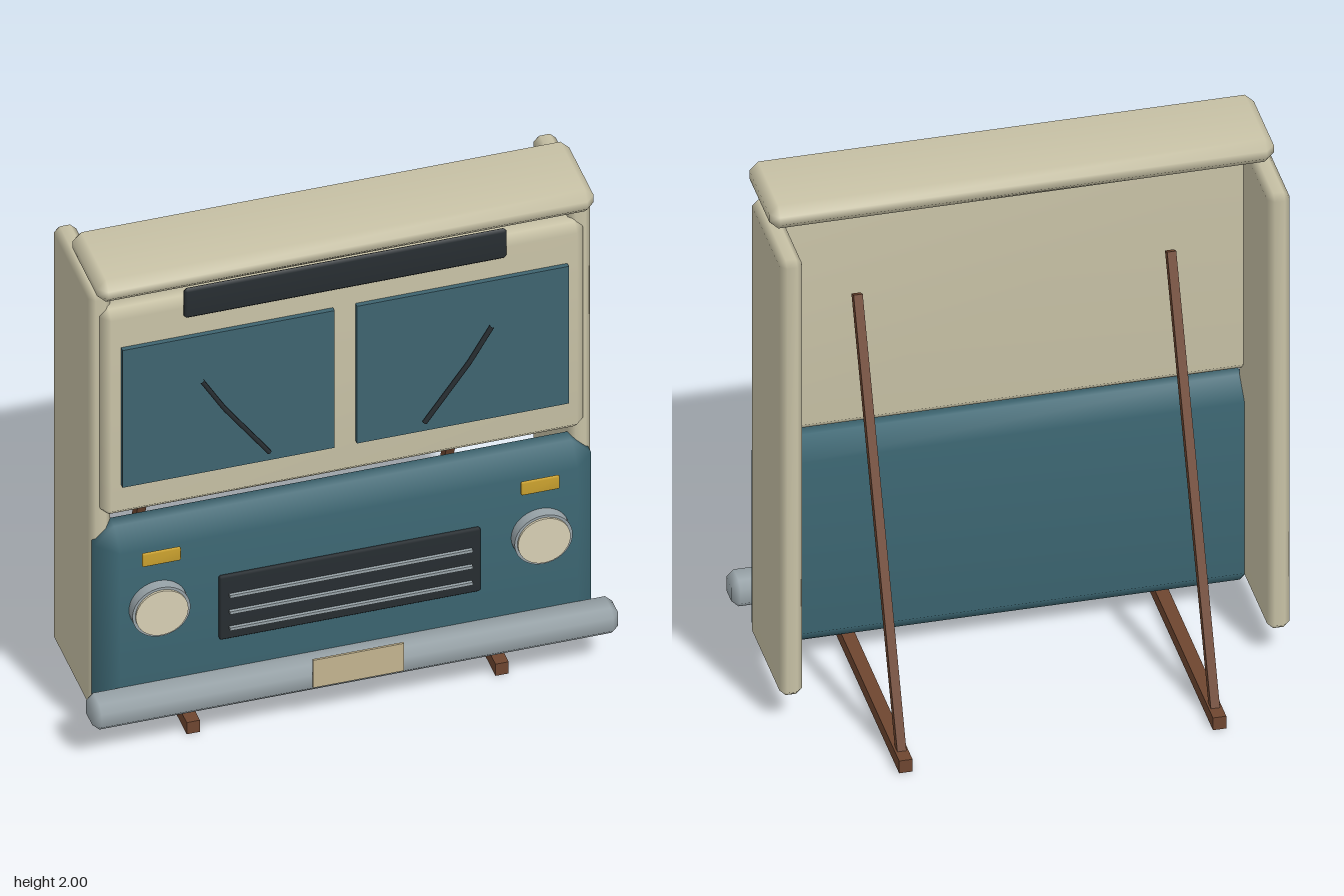
import * as THREE from 'three';
import { mergeVertices } from 'three/addons/utils/BufferGeometryUtils.js';
import { ConvexGeometry } from 'three/addons/geometries/ConvexGeometry.js';

const mat = (color) => new THREE.MeshStandardMaterial({ color });
const CREAM = mat(0xc8c2a6), TEAL = mat(0x3c6672), GLASS = mat(0x3e6470), WOOD = mat(0x6e4630);
const DARK = mat(0x272d31), METAL = mat(0x98a3a8), AMBER = mat(0xc9a02e), LENS = mat(0xd8d0b4), PLATE = mat(0xc4b590);

// Box with a single chamfer on every edge and softened normals
function chamferBox(w, h, d, c) {
  const pts = [];
  for (const sx of [-1, 1]) for (const sy of [-1, 1]) for (const sz of [-1, 1]) {
    const x = w / 2, y = h / 2, z = d / 2;
    pts.push(new THREE.Vector3(sx * x, sy * (y - c), sz * (z - c)));
    pts.push(new THREE.Vector3(sx * (x - c), sy * y, sz * (z - c)));
    pts.push(new THREE.Vector3(sx * (x - c), sy * (y - c), sz * z));
  }
  let geo = new ConvexGeometry(pts);
  geo.deleteAttribute('normal');
  geo = mergeVertices(geo, 1e-5);
  geo.computeVertexNormals();
  return geo;
}

export function createModel() {
  const model = new THREE.Group();
  model.name = 'busFrontBackdrop';

  const add = (name, geo, material, x = 0, y = 0, z = 0) => {
    const mesh = new THREE.Mesh(geo, material);
    mesh.name = name;
    mesh.position.set(x, y, z);
    model.add(mesh);
    return mesh;
  };
  // Block given by its limits on each axis, chamfered when c > 0
  const block = (name, material, [x0, x1], [y0, y1], [z0, z1], c = 0) => {
    const w = x1 - x0, h = y1 - y0, d = z1 - z0;
    const geo = c ? chamferBox(w, h, d, c) : new THREE.BoxGeometry(w, h, d);
    return add(name, geo, material, (x0 + x1) / 2, (y0 + y1) / 2, (z0 + z1) / 2);
  };

  // Body panels and roof
  block('lowerPanel', TEAL, [-0.89, 0.89], [0.07, 0.91], [0.205, 0.395], 0.07);
  block('upperPanel', CREAM, [-0.865, 0.865], [0.955, 1.835], [0.22, 0.34], 0.03);
  block('roof', CREAM, [-0.89, 0.89], [1.905, 2], [0.04, 0.385], 0.032);

  // Destination board
  block('destinationBoard', DARK, [-0.578, 0.578], [1.77, 1.895], [0.338, 0.362], 0.01);

  // Grille with slats
  block('grille', DARK, [-0.468, 0.468], [0.4, 0.67], [0.39, 0.412], 0.006);
  for (const y of [0.45, 0.52, 0.59]) {
    block('grilleSlat', METAL, [-0.435, 0.435], [y - 0.006, y + 0.006], [0.408, 0.424]);
  }

  // Bumper and blank number plate
  block('bumper', METAL, [-0.943, 0.943], [0.16, 0.267], [0.37, 0.492], 0.026);
  block('numberPlate', PLATE, [-0.163, 0.163], [0.197, 0.315], [0.498, 0.506]);

  for (const s of [-1, 1]) {
    const span = (a, b) => (s > 0 ? [a, b] : [-b, -a]);

    block('sidePanel', CREAM, span(0.82, 0.9), [0.115, 1.895], [-0.135, 0.3], 0.022);
    block('window', GLASS, span(0.04, 0.8), [1.095, 1.685], [0.338, 0.358]);
    block('indicator', AMBER, span(0.61, 0.748), [0.785, 0.84], [0.408, 0.422], 0.004);

    // Wiper bent once along its length
    const path = new THREE.CurvePath();
    const p = [[0.52, 1.5], [0.44, 1.365], [0.278, 1.14]].map(([x, y]) => new THREE.Vector3(s * x, y, 0.371));
    path.add(new THREE.LineCurve3(p[0], p[1]));
    path.add(new THREE.LineCurve3(p[1], p[2]));
    add('wiper', new THREE.TubeGeometry(path, 16, 0.009, 6), DARK);

    // Headlight: metal rim, step and pale lens
    const disc = (name, material, r, z0, z1) => {
      const geo = new THREE.CylinderGeometry(r, r, z1 - z0, 40).rotateX(Math.PI / 2);
      add(name, geo, material, s * 0.685, 0.592, (z0 + z1) / 2);
    };
    disc('headlightRim', METAL, 0.104, 0.385, 0.436);
    disc('headlightLens', LENS, 0.094, 0.43, 0.444);

    // Wooden foot and sloping brace behind
    block('foot', WOOD, span(0.53, 0.577), [0, 0.05], [-0.51, 0.38]);
    const a = new THREE.Vector3(s * 0.553, 0.03, -0.443), b = new THREE.Vector3(s * 0.553, 1.52, 0.18);
    const brace = add('brace', new THREE.BoxGeometry(0.032, a.distanceTo(b), 0.034), WOOD);
    brace.position.lerpVectors(a, b, 0.5);
    brace.rotation.x = Math.atan2(b.z - a.z, b.y - a.y);
  }

  return model;
}
